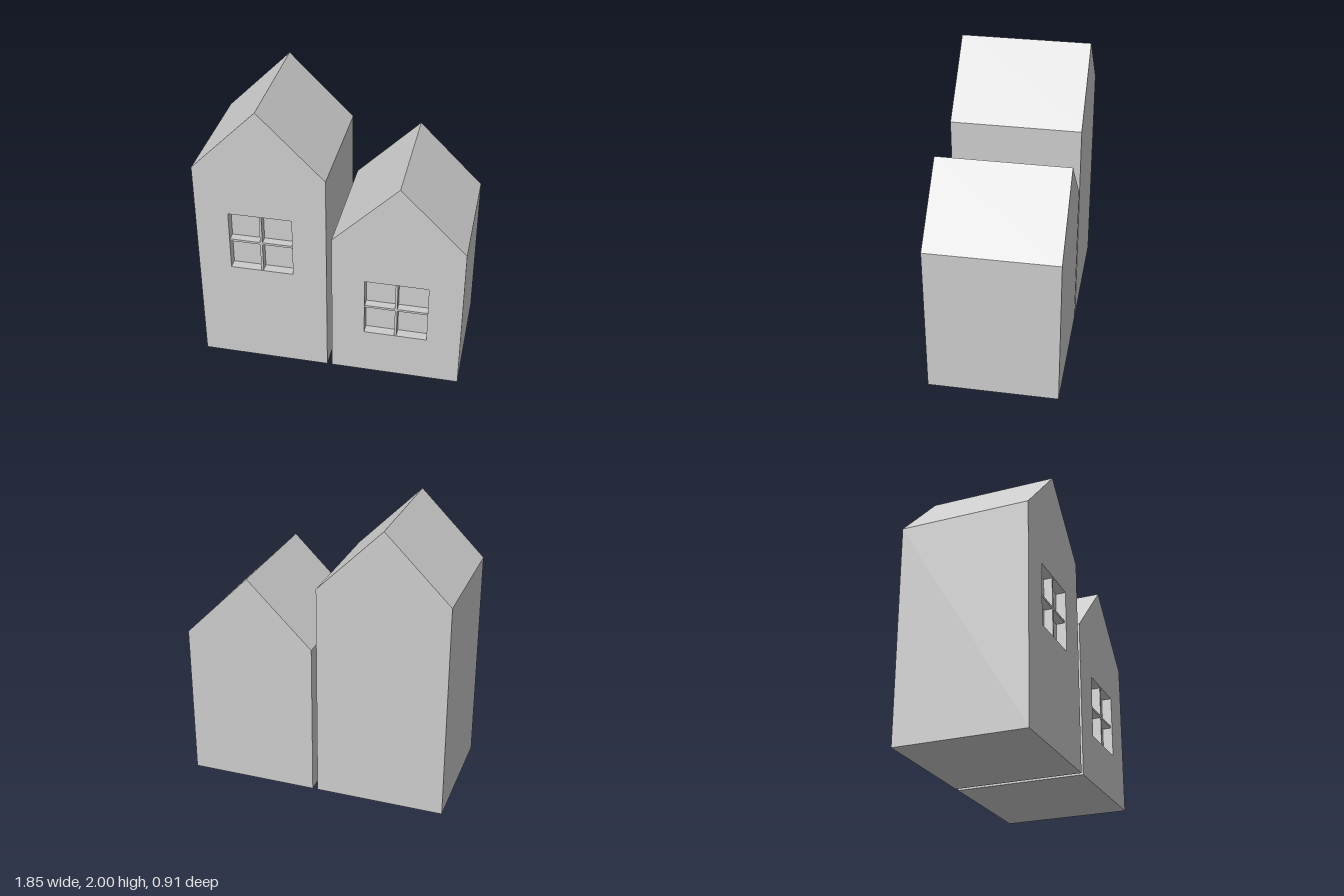
import * as THREE from 'three';
import { mergeGeometries } from 'three/addons/utils/BufferGeometryUtils.js';

const HALF = 0.453;      // half depth and half width of each house
const RECESS = 0.07;     // depth of the window niche
const WIN = 0.22;        // half size of the window
const BAR = 0.008;       // half thickness of the glazing bars
const BAR_SETBACK = 0.01;

const toPoints = (list) => list.map(([x, y]) => new THREE.Vector2(x, y));

// Walls swept along z from a closed counter-clockwise outline, facing outwards
function sides(points, z0, z1) {
  const pos = [], uv = [];
  points.forEach((a, i) => {
    const b = points[(i + 1) % points.length];
    pos.push(a.x, a.y, z0, b.x, b.y, z0, b.x, b.y, z1);
    pos.push(a.x, a.y, z0, b.x, b.y, z1, a.x, a.y, z1);
    uv.push(0, 0, 1, 0, 1, 1, 0, 0, 1, 1, 0, 1);
  });
  const g = new THREE.BufferGeometry();
  g.setAttribute('position', new THREE.Float32BufferAttribute(pos, 3));
  g.setAttribute('uv', new THREE.Float32BufferAttribute(uv, 2));
  g.computeVertexNormals();
  return g;
}

// Flat face at depth z, facing the front or the back
function cap(points, z, hole, back = false) {
  const shape = new THREE.Shape(points);
  if (hole) shape.holes.push(new THREE.Path(hole));
  const g = new THREE.ShapeGeometry(shape);
  if (back) g.scale(-1, 1, 1).rotateY(Math.PI);
  if (back) {
    // the mirrored scale and half turn keep x and flip z, so only winding changes
    const idx = g.index.array;
    for (let i = 0; i < idx.length; i += 3) [idx[i], idx[i + 1]] = [idx[i + 1], idx[i]];
    g.computeVertexNormals();
  }
  g.translate(0, 0, z);
  return g.toNonIndexed();
}

function house(name, x, wallHeight, winX, winY, material) {
  const group = new THREE.Group();
  group.name = name;
  const add = (part, geometries) => {
    const mesh = new THREE.Mesh(mergeGeometries(geometries), material);
    mesh.name = part;
    group.add(mesh);
  };

  const outline = toPoints([
    [x - HALF, 0], [x + HALF, 0], [x + HALF, wallHeight],
    [x, wallHeight + HALF], [x - HALF, wallHeight],
  ]);
  const [l, r, b, t] = [winX - WIN, winX + WIN, winY - WIN, winY + WIN];
  const opening = toPoints([[l, b], [r, b], [r, t], [l, t]]);
  const niche = HALF - RECESS;

  // Gabled block with the window opening cut in its front
  add('houseBody', [
    sides(outline, -HALF, HALF),
    cap(outline, HALF, opening),
    cap(outline, -HALF, null, true),
  ]);

  // Window niche: reveals and back panel
  add('windowNiche', [
    sides([...opening].reverse(), niche, HALF),
    cap(opening, niche),
  ]);

  // Cross of glazing bars
  const [x0, x1, y0, y1] = [winX - BAR, winX + BAR, winY - BAR, winY + BAR];
  const cross = toPoints([
    [x0, b], [x1, b], [x1, y0], [r, y0], [r, y1], [x1, y1],
    [x1, t], [x0, t], [x0, y1], [l, y1], [l, y0], [x0, y0],
  ]);
  const front = HALF - BAR_SETBACK;
  add('windowBars', [sides(cross, niche, front), cap(cross, front)]);
  return group;
}

export function createModel() {
  const model = new THREE.Group();
  model.name = 'twoHouses';
  const material = new THREE.MeshStandardMaterial({ color: 0xcccccc, flatShading: true });
  model.add(
    house('tallHouse', -0.471, 1.547, -0.473, 0.99, material),
    house('smallHouse', 0.471, 1.097, 0.468, 0.565, material),
  );
  return model;
}
